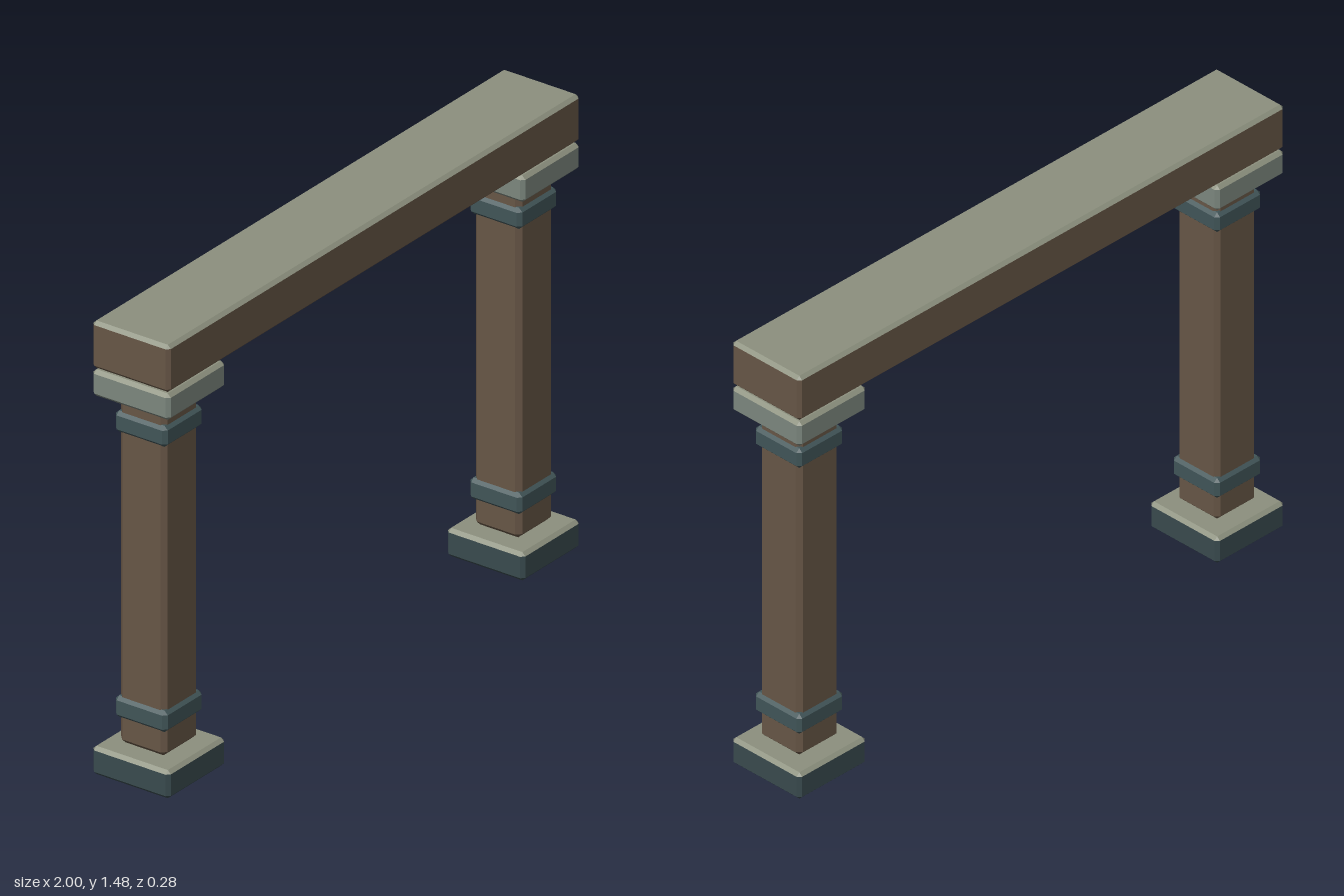
import * as THREE from 'three';

const material = (color) => new THREE.MeshStandardMaterial({ color, flatShading: true });
const wood = material(0x675646);
const stone = material(0x7c877e);
const slate = material(0x394a4e);
const iron = material(0x415558);
const moss = material(0x8c907e);

// Eight-point horizontal outline; the end outlines collapse to a rectangle
function outline(w, d, y, c, end) {
  const corners = [[1, 1], [1, -1], [-1, -1], [-1, 1]];
  return corners.flatMap(([sx, sz], i) => {
    const onZ = new THREE.Vector3(sx * (w - c), y, sz * (end ? d - c : d));
    const onX = new THREE.Vector3(sx * (end ? w - c : w), y, sz * (d - c));
    return i % 2 === 0 ? [onZ, onX] : [onX, onZ];
  });
}

// Joins outlines from bottom to top, with optional flat caps
function skin(rings, capBottom, capTop) {
  const points = [];
  const triangle = (a, b, c) => {
    if (a.distanceTo(b) > 1e-6 && b.distanceTo(c) > 1e-6 && a.distanceTo(c) > 1e-6) points.push(a, b, c);
  };
  for (let r = 0; r + 1 < rings.length; r++) {
    for (let i = 0; i < 8; i++) {
      const j = (i + 1) % 8;
      const [low, high] = [rings[r], rings[r + 1]];
      triangle(low[i], low[j], high[j]);
      triangle(low[i], high[j], high[i]);
    }
  }
  const first = rings[0];
  const last = rings[rings.length - 1];
  for (let i = 1; i < 7; i++) {
    if (capBottom) triangle(first[0], first[i + 1], first[i]);
    if (capTop) triangle(last[0], last[i], last[i + 1]);
  }
  const geometry = new THREE.BufferGeometry().setFromPoints(points);
  geometry.computeVertexNormals();
  return geometry;
}

// Box with chamfered edges and its own material on top
function block(name, width, depth, y0, y1, c, side, top = side) {
  const [w, d] = [width / 2, depth / 2];
  const upper = outline(w, d, y1 - c, c, false);
  const body = [outline(w, d, y0, c, true), outline(w, d, y0 + c, c, false), upper];
  const group = new THREE.Group();
  group.name = name;
  const sides = new THREE.Mesh(skin(body, true, false), side);
  sides.name = name + 'Sides';
  const lid = new THREE.Mesh(skin([upper, outline(w, d, y1, c, true)], false, true), top);
  lid.name = name + 'Top';
  group.add(sides, lid);
  return group;
}

// Post with its footing, two bands and capital
function post(name, x) {
  const group = new THREE.Group();
  group.name = name;
  group.position.x = x;
  group.add(
    block('footing', 0.28, 0.28, 0, 0.092, 0.011, slate, moss),
    block('shaft', 0.168, 0.168, 0.097, 1.229, 0.015, wood),
    block('lowerBand', 0.188, 0.188, 0.182, 0.252, 0.012, iron),
    block('upperBand', 0.188, 0.188, 1.112, 1.181, 0.012, iron),
    block('capital', 0.28, 0.28, 1.234, 1.32, 0.011, stone, moss)
  );
  return group;
}

export function createModel() {
  const model = new THREE.Group();
  model.name = 'gateway';
  model.add(post('leftPost', 0.86), post('rightPost', -0.86));
  // Lintel across both posts
  model.add(block('lintel', 2, 0.28, 1.325, 1.479, 0.011, wood, moss));
  return model;
}
